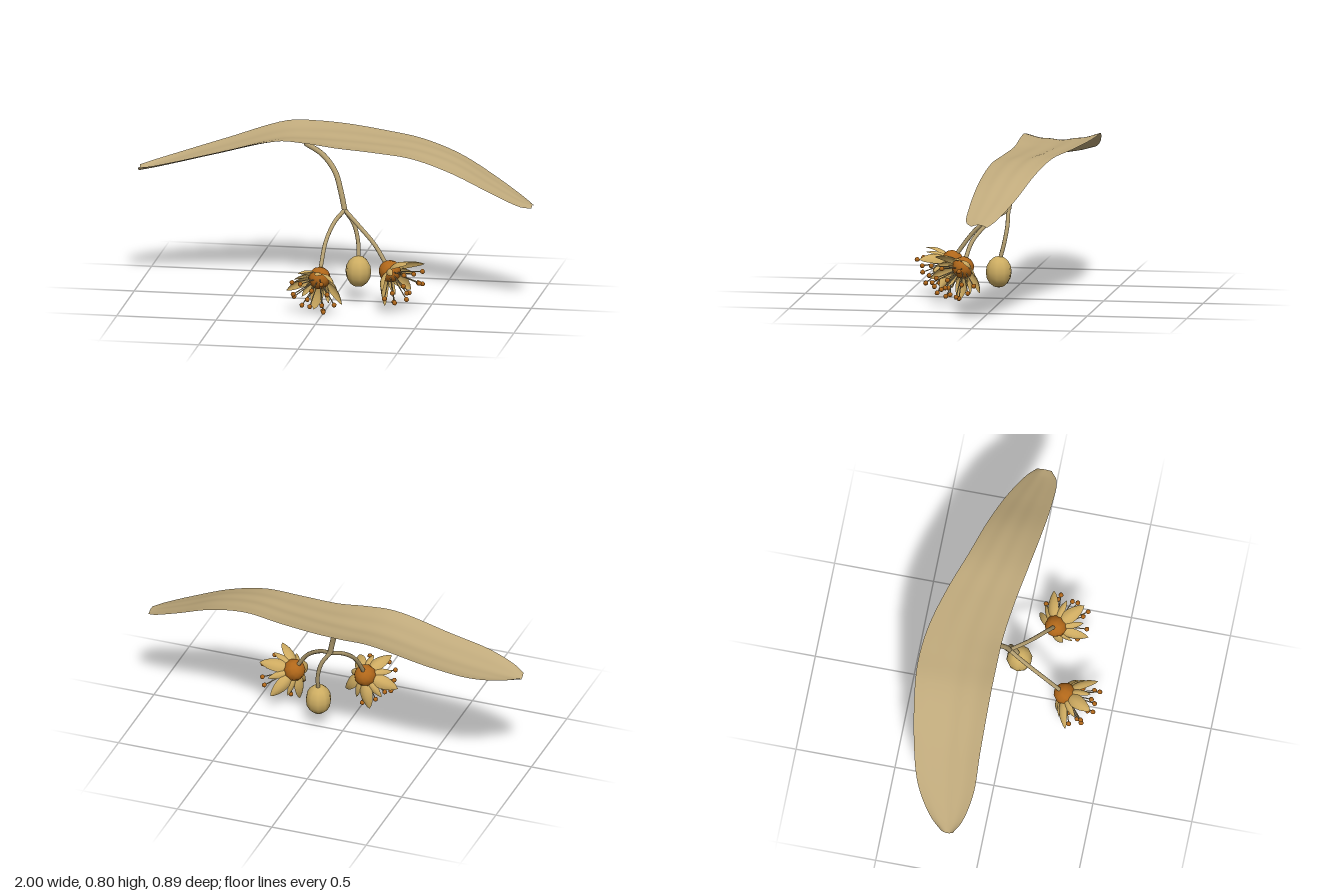
import * as THREE from 'three';

const V = (x, y, z) => new THREE.Vector3(x, y, z);
const mat = (name, color, side = THREE.FrontSide) => {
  const m = new THREE.MeshStandardMaterial({ color, side });
  m.name = name;
  return m;
};

export function createModel() {
  const leafMat = mat('leaf tan', 0xc0aa7c, THREE.DoubleSide);
  const stemMat = mat('stem tan', 0xb5a071);
  const petalMat = mat('petal yellow', 0xcdaa60, THREE.DoubleSide);
  const fruitMat = mat('fruit yellow', 0xcdad62);
  const orangeMat = mat('anther orange', 0xb2681a);

  const model = new THREE.Group();
  model.name = 'blossomSprig';
  const add = (parent, name, geo, material) => {
    const m = new THREE.Mesh(geo, material);
    m.name = name;
    parent.add(m);
    return m;
  };

  // Reshape a plane by a rule: s and t run 0..1 across and along it
  const sheet = (nu, nv, rule) => {
    const g = new THREE.PlaneGeometry(1, 1, nu, nv);
    const p = g.attributes.position;
    for (let i = 0; i < p.count; i++) {
      const q = rule(p.getX(i) + 0.5, p.getY(i) + 0.5);
      p.setXYZ(i, q.x, q.y, q.z);
    }
    g.computeVertexNormals();
    return g;
  };

  // Long bract: x, front z, back z, then height at front, middle, back
  const stations = [
    [-1, -0.11, -0.17, 0.61, 0.59, 0.612],
    [-0.94, -0.075, -0.235, 0.626, 0.602, 0.622],
    [-0.8, -0.045, -0.325, 0.666, 0.636, 0.654],
    [-0.6, -0.05, -0.385, 0.718, 0.687, 0.712],
    [-0.3, -0.053, -0.435, 0.79, 0.765, 0.802],
    [-0.15, -0.053, -0.438, 0.785, 0.772, 0.806],
    [0, -0.051, -0.42, 0.768, 0.772, 0.802],
    [0.2, -0.03, -0.37, 0.758, 0.769, 0.79],
    [0.4, 0, -0.305, 0.742, 0.76, 0.773],
    [0.6, 0.025, -0.25, 0.684, 0.71, 0.717],
    [0.8, 0.04, -0.185, 0.596, 0.612, 0.62],
    [0.95, 0.034, -0.115, 0.53, 0.542, 0.54],
    [1, 0, -0.077, 0.517, 0.526, 0.513],
  ];
  const line = (f) => new THREE.CatmullRomCurve3(stations.map(f));
  const front = line((s) => V(s[0], s[3], s[1]));
  const back = line((s) => V(s[0], s[5], s[2]));
  const middle = line((s) => V(s[0], s[4], (s[1] + s[2]) / 2));
  add(model, 'bract', sheet(72, 18, (s, t) => {
    const a = front.getPoint(s), b = middle.getPoint(s), c = back.getPoint(s);
    const v = 2 * t - 1;
    const q = a.multiplyScalar(v * (v - 1) / 2)
      .addScaledVector(b, 1 - v * v)
      .addScaledVector(c, v * (v + 1) / 2);
    // Soft lengthwise veins, fading towards both ends
    q.y -= 0.003 * Math.cos(3 * Math.PI * v) * Math.sin(Math.PI * s) * (1 - v * v);
    return q;
  }), leafMat);

  // Stalks
  const fork = [0.055, 0.46, -0.03];
  const stalk = (name, radius, pts) => add(model, name, new THREE.TubeGeometry(
    new THREE.CatmullRomCurve3(pts.map((p) => V(...p))), 24, radius, 8), stemMat);
  stalk('mainStalk', 0.0135, [[-0.17, 0.75, -0.195], [-0.07, 0.712, -0.125],
    [0, 0.64, -0.075], [0.033, 0.55, -0.045], fork]);
  stalk('fruitStalk', 0.0105, [fork, [0.1, 0.39, -0.033], [0.123, 0.31, -0.022], [0.13, 0.22, 0]]);
  stalk('centreFlowerStalk', 0.0105, [fork, [0.02, 0.42, 0.05], [-0.008, 0.345, 0.145],
    [-0.018, 0.25, 0.22], [-0.02, 0.19, 0.26]]);
  stalk('sideFlowerStalk', 0.0105, [fork, [0.14, 0.405, 0.055], [0.235, 0.325, 0.122], [0.3, 0.23, 0.15]]);

  // Round fruit
  const fruit = add(model, 'fruit', new THREE.SphereGeometry(1, 10, 8), fruitMat);
  fruit.scale.set(0.065, 0.079, 0.065);
  fruit.position.set(0.13, 0.159, 0.006);

  // Petal: cupped blade following a curve away from the flower axis (+y)
  const petalGeo = (length, width) => {
    const spine = new THREE.QuadraticBezierCurve3(
      V(0, 0, 0.025), V(0, 0.005, 0.105 * length), V(0, 0.09 * length, 0.152 * length));
    return sheet(6, 10, (s, t) => {
      const u = 2 * s - 1;
      const w = width * Math.pow(Math.max(0, Math.sin(Math.PI * (0.1 + 0.9 * t))), 0.7);
      const q = spine.getPoint(t);
      q.x = u * w;
      q.y += 0.4 * w * u * u;
      q.z -= 0.25 * w * u * u;
      return q;
    });
  };
  const petal = petalGeo(1, 0.034);
  const sepal = petalGeo(0.78, 0.019);
  const filament = new THREE.CylinderGeometry(0.0028, 0.0028, 1, 5);
  const anther = new THREE.SphereGeometry(0.0125, 7, 5);
  const up = V(0, 1, 0);

  // Flower facing along axis, with its first petal leaning towards ref
  const flower = (name, pos, axis, ref) => {
    const g = new THREE.Group();
    g.name = name;
    add(g, 'receptacle', new THREE.SphereGeometry(0.056, 10, 7), orangeMat);
    for (let i = 0; i < 5; i++) {
      const a = i * Math.PI * 0.4;
      add(g, 'petal', petal, petalMat).rotation.y = a;
      add(g, 'sepal', sepal, petalMat).rotation.y = a + Math.PI / 5;
    }
    // Stamens fan out in a golden-angle spiral
    for (let i = 0; i < 14; i++) {
      const a = i * 2.4;
      const tilt = 0.15 + 0.75 * Math.sqrt(i / 13);
      const len = 0.152 + 0.022 * ((i * 5) % 7) / 6;
      const dir = V(Math.sin(tilt) * Math.cos(a), Math.cos(tilt), Math.sin(tilt) * Math.sin(a));
      const f = add(g, 'filament', filament, stemMat);
      f.scale.y = len;
      f.position.copy(dir).multiplyScalar(len / 2);
      f.quaternion.setFromUnitVectors(up, dir);
      add(g, 'anther', anther, orangeMat).position.copy(dir).multiplyScalar(len);
    }
    const y = V(...axis).normalize();
    const x = y.clone().cross(V(...ref)).normalize();
    g.quaternion.setFromRotationMatrix(new THREE.Matrix4().makeBasis(x, y, x.clone().cross(y)));
    g.position.set(...pos);
    model.add(g);
  };
  flower('centreFlower', [-0.02, 0.183, 0.265], [-0.15, -0.6, 0.72], [0.11, 0.06, 0.12]);
  flower('sideFlower', [0.315, 0.205, 0.155], [0.72, -0.53, 0.37], [0.07, 0.09, 0.1]);

  return model;
}
